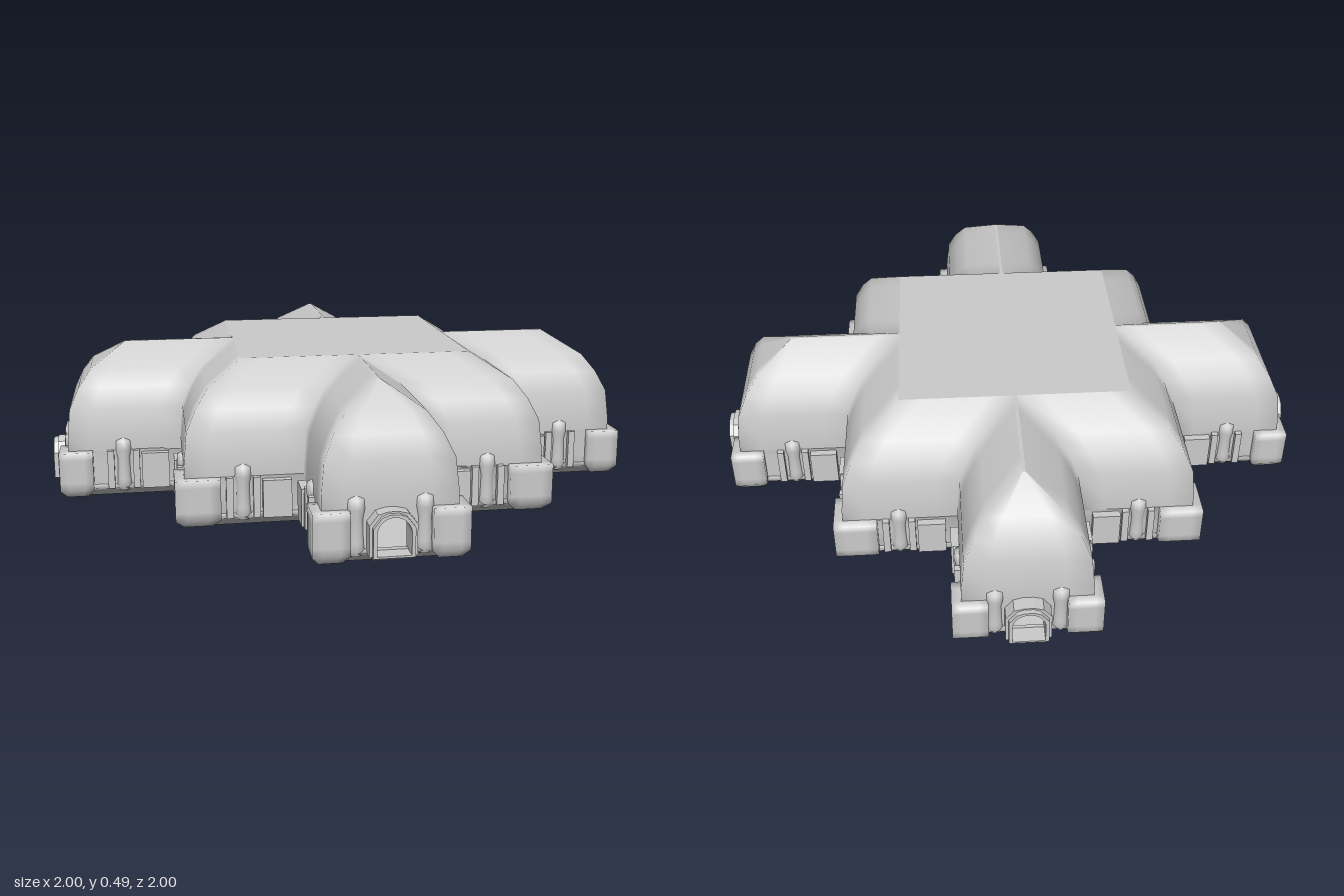
import * as THREE from 'three';
import { mergeVertices } from 'three/addons/utils/BufferGeometryUtils.js';

const ARM = 0.2, SQUARE = 0.57, END = 0.94; // half widths and reach of the cross plan
const FLOOR = 0.035, WALL_TOP = 0.16;

const mat = new THREE.MeshStandardMaterial({ color: 0xcccccc, side: THREE.DoubleSide });

function add(parent, name, geometry) {
  const mesh = new THREE.Mesh(geometry, mat);
  mesh.name = name;
  parent.add(mesh);
  return mesh;
}

// Cross-shaped outline, inset by d, as [x, z] corners
function crossOutline(d) {
  const a = ARM - d, s = SQUARE - d, e = END - d;
  const pts = [];
  let quarter = [[a, e], [a, s], [s, s], [s, a], [e, a]];
  for (let q = 0; q < 4; q++) {
    pts.push(...quarter);
    quarter = quarter.map(([x, z]) => [z, -x]);
  }
  return pts;
}

// Loft the cross outline through [inset, height] rings
function crossLoft(profile, n, openEnds = false) {
  const pos = [], index = [], count = 20 * n;
  for (const [d, y] of profile) {
    const c = crossOutline(d);
    for (let i = 0; i < count; i++) {
      const p = c[Math.floor(i / n)], q = c[(Math.floor(i / n) + 1) % 20], t = (i % n) / n;
      pos.push(p[0] + (q[0] - p[0]) * t, y, p[1] + (q[1] - p[1]) * t);
    }
  }
  for (let r = 0; r < profile.length - 1; r++) {
    for (let i = 0; i < count; i++) {
      if (openEnds && Math.floor(i / n) % 5 === 4) continue;
      const j = (i + 1) % count, a = r * count, b = a + count;
      index.push(a + i, a + j, b + i, a + j, b + j, b + i);
    }
  }
  const g = new THREE.BufferGeometry();
  g.setAttribute('position', new THREE.Float32BufferAttribute(pos, 3));
  g.setIndex(index);
  g.computeVertexNormals();
  return g;
}

function crossSlab(d, y, down) {
  const shape = new THREE.Shape(crossOutline(d).map(([x, z]) => new THREE.Vector2(x, z)));
  return new THREE.ShapeGeometry(shape).rotateX(down ? Math.PI / 2 : -Math.PI / 2).translate(0, y, 0);
}

// Upright panel with an arched door opening
function archPanel(outline, radius, depth) {
  const shape = new THREE.Shape(outline.map(([x, y]) => new THREE.Vector2(x, y)));
  const spring = 0.15 - 0.05;
  const hole = new THREE.Path();
  hole.moveTo(-radius, FLOOR + 0.001);
  hole.lineTo(radius, FLOOR + 0.001);
  hole.lineTo(radius, spring);
  hole.absarc(0, spring, radius, 0, Math.PI, false);
  hole.closePath();
  shape.holes.push(hole);
  return new THREE.ExtrudeGeometry(shape, { depth, bevelEnabled: false, curveSegments: 12 });
}

// Corner bastion: tapered foot, softly blended edges
function bastion(cx, cz, size) {
  const h = 0.155;
  let g = new THREE.BoxGeometry(size, h, size, 4, 6, 4);
  g.deleteAttribute('normal');
  g.deleteAttribute('uv');
  g = mergeVertices(g);
  const p = g.attributes.position;
  for (let i = 0; i < p.count; i++) {
    const y = p.getY(i) + h / 2 + 0.005;
    const k = y < 0.03 ? 0.62 : 1;
    p.setXYZ(i, p.getX(i) * k, y, p.getZ(i) * k);
  }
  g.computeVertexNormals();
  return g.translate(cx + 0.03 - size / 2, 0, cz + 0.03 - size / 2);
}

function column() {
  const pts = [[0.018, 0.02], [0.027, 0.04], [0.024, 0.06], [0.022, 0.13], [0.028, 0.16], [0.026, 0.19], [0, 0.205]];
  return new THREE.LatheGeometry(pts.map(([r, y]) => new THREE.Vector2(r, y)), 12);
}

// Details along one wall, running from an inner corner
function wallDetails(parent, x, z, alongX) {
  const wall = new THREE.Group();
  wall.name = 'wallDetails';
  const at = (u, out) => (alongX ? [x + u, z + out] : [x + out, z + u]);
  const blocks = [[0.085, 0.09, 0.025, 0.15], [0.148, 0.022, 0.018, 0.16], [0.232, 0.022, 0.018, 0.16]];
  for (const [u, w, out, top] of blocks) {
    const depth = out + 0.02, [px, pz] = at(u, out - depth / 2);
    const g = new THREE.BoxGeometry(alongX ? w : depth, top - 0.03, alongX ? depth : w);
    add(wall, 'pilaster', g).position.set(px, (top + 0.03) / 2, pz);
  }
  const [cx, cz] = at(0.19, -0.01);
  add(wall, 'column', column()).position.set(cx, 0, cz);
  parent.add(wall);
}

export function createModel() {
  const model = new THREE.Group();
  model.name = 'crossShapedHall';

  // Base, floor and outer wall
  add(model, 'underside', crossSlab(0.02, 0, true));
  add(model, 'floor', crossSlab(0.005, FLOOR, false));
  add(model, 'plinth', crossLoft([[0.02, 0], [0.005, 0.02], [-0.012, 0.03], [0, 0.042]], 1));
  add(model, 'outerWall', crossLoft([[0, 0.035], [0, WALL_TOP]], 1, true));

  // Domed hip roof with a flat top
  const roof = [[0, 0.155], [0, 0.2], [0.01, 0.3], [0.04, 0.365], [0.08, 0.42], [0.195, 0.493]];
  add(model, 'roof', crossLoft(roof, 5));
  add(model, 'roofTop', crossSlab(0.195, 0.493, false));

  for (let q = 0; q < 4; q++) {
    const side = new THREE.Group();
    side.name = 'quarter' + (q + 1);
    side.rotation.y = q * Math.PI / 2;
    model.add(side);

    // Bastions on the outer corners
    for (const [x, z, s] of [[ARM, END, 0.11], [SQUARE, SQUARE, 0.14], [END, ARM, 0.11]]) {
      add(side, 'cornerBastion', bastion(x, z, s));
    }
    for (const alongX of [true, false]) {
      wallDetails(side, ARM, SQUARE, alongX);
      wallDetails(side, SQUARE, ARM, alongX);
    }

    // End wall with arched doorway
    const w = ARM, y0 = FLOOR - 0.005;
    add(side, 'endWall', archPanel([[-w, y0], [w, y0], [w, WALL_TOP], [-w, WALL_TOP]], 0.05, 0.015))
      .position.z = END - 0.015;
    const frame = (r, t) => [[-r, y0], [r, y0], [r, t - 0.04], [r - 0.025, t - 0.008], [0.015, t],
      [-0.015, t], [0.025 - r, t - 0.008], [-r, t - 0.04]];
    add(side, 'doorFrame', archPanel(frame(0.07, 0.163), 0.05, 0.045)).position.z = END;
    add(side, 'doorFrameRim', archPanel(frame(0.061, 0.158), 0.05, 0.015)).position.z = 0.985;
    for (const x of [-0.1, 0.1]) add(side, 'doorColumn', column()).position.set(x, 0, END - 0.01);

    // Stepped underside of the door sill
    for (let i = 0; i < 4; i++) {
      const reach = 0.93 + i * 0.022;
      add(side, 'sillStep', new THREE.BoxGeometry(0.1, 0.009, reach - 0.88))
        .position.set(0, 0.0045 + i * 0.009, (reach + 0.88) / 2);
    }
  }
  return model;
}
